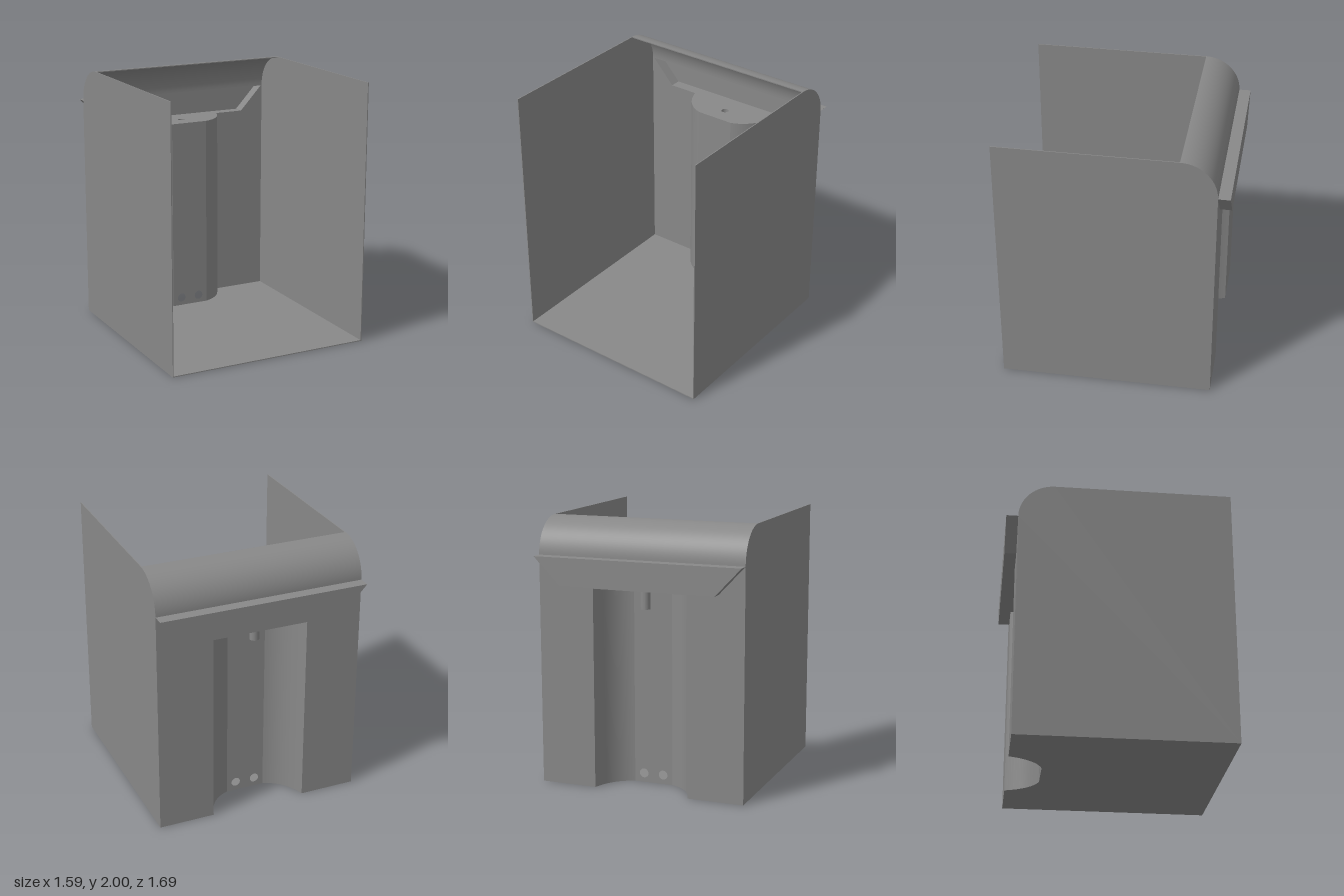
import * as THREE from 'three';
import { mergeGeometries, toCreasedNormals } from 'three/addons/utils/BufferGeometryUtils.js';

const T = 0.007;                // sheet thickness
const W = 0.797, H = 2;         // half width, height
const FRONT = 0.845, BACK = -0.755;
const R = 0.27;                 // radius of the rounded top rear edge
const TRAY_Y = 1.52, TRAY_TOP = H - R, TRAY_BACK = -0.843;
const RX = 0.368, RF = 0.15, RZ = -0.505; // recess: half width, flat half width, flat wall z
const PIPE_Z = -0.645, PIPE_R = 0.036, PIPE_BORE = 0.028;

const v = (x, y) => new THREE.Vector2(x, y);

function circleHole(x, y, r) {
  const p = new THREE.Path();
  p.absarc(x, y, r, 0, Math.PI * 2, true);
  return p;
}

export function createModel() {
  const group = new THREE.Group();
  const mat = new THREE.MeshStandardMaterial({ color: 0x888888, side: THREE.DoubleSide });

  const add = (name, geo, x = 0, y = 0, z = 0) => {
    const mesh = new THREE.Mesh(toCreasedNormals(geo, 0.2), mat);
    mesh.name = name;
    mesh.position.set(x, y, z);
    group.add(mesh);
  };
  const shape = (pts, holes = []) => {
    const s = new THREE.Shape(pts);
    s.holes.push(...holes);
    return s;
  };
  const extrude = (pts, depth, holes) => new THREE.ExtrudeGeometry(
    shape(pts, holes), { depth, bevelEnabled: false, curveSegments: 24 });
  // plan outline (x, z), thickness downwards from y
  const plan = (pts, depth, holes) => extrude(pts, depth, holes).rotateX(Math.PI / 2);
  // side outline (z, y), thickness towards -x
  const profile = (pts, depth) => extrude(pts, depth).rotateY(-Math.PI / 2);

  // rear arc from the back panel up to the top edge
  const arc = (r) => Array.from({ length: 25 }, (_, i) => {
    const a = Math.PI - (i / 24) * Math.PI / 2;
    return v(BACK + R + r * Math.cos(a), H - R + r * Math.sin(a));
  });
  // curved flank of the recess in plan, from the back panel to the flat wall
  const flank = (side) => new THREE.QuadraticBezierCurve(
    v(side * RX, BACK), v(side * 0.31, -0.555), v(side * RF, RZ)).getPoints(16);
  const recessEdge = [...flank(1), ...flank(-1).reverse()];

  // side panels
  const sidePts = [v(FRONT, 0), v(FRONT, H), ...arc(R).reverse(), v(BACK, 0)];
  add('leftSidePanel', profile(sidePts, T), W);
  add('rightSidePanel', profile(sidePts, T), -W + T);

  // floor, notched for the recess
  add('floor', plan([v(-W, FRONT), v(W, FRONT), v(W, BACK), ...recessEdge, v(-W, BACK)], T), 0, T);

  // rounded rear top
  add('roundedTop', profile([...arc(R), ...arc(R - T).reverse()], 2 * W), W);

  // back panels beside the recess
  for (const s of [1, -1]) {
    add(s > 0 ? 'leftBackPanel' : 'rightBackPanel', extrude([
      v(s * RX, 0), v(s * W, 0), v(s * W, TRAY_TOP), v(s * 0.6, TRAY_Y), v(s * RX, TRAY_Y),
    ], T), 0, 0, BACK);
  }

  // recess: flat wall with two pipe holes, joined to a curved flank on each side
  const flankSheet = (pts) => {
    const geo = new THREE.PlaneGeometry(1, TRAY_Y, pts.length - 1, 1).translate(0, TRAY_Y / 2, 0);
    const pos = geo.attributes.position;
    for (let i = 0; i < pos.count; i++) {
      const p = pts[i % pts.length];
      pos.setX(i, p.x);
      pos.setZ(i, p.y);
    }
    return geo;
  };
  const wall = new THREE.ShapeGeometry(shape(
    [v(-RF, 0), v(RF, 0), v(RF, TRAY_Y), v(-RF, TRAY_Y)],
    [circleHole(-0.077, 0.07, 0.035), circleHole(0.077, 0.07, 0.035)]), 24).translate(0, 0, RZ);
  add('recessWall', mergeGeometries([wall, flankSheet(flank(1).reverse()), flankSheet(flank(-1))]));

  // rear tray: trapezoid rim, rear plate and shelf over the recess
  const trapezoid = (e) => [
    v(-W + 2.3 * e, TRAY_TOP - e), v(-0.6 + 0.45 * e, TRAY_Y + e),
    v(0.6 - 0.45 * e, TRAY_Y + e), v(W - 2.3 * e, TRAY_TOP - e),
  ];
  add('trayRim', extrude(trapezoid(0), BACK + T - TRAY_BACK, [new THREE.Path(trapezoid(T))]),
    0, 0, TRAY_BACK);
  add('trayRearPlate', extrude(trapezoid(T), T), 0, 0, TRAY_BACK);
  add('trayShelf', plan(recessEdge, T, [circleHole(0, PIPE_Z, PIPE_BORE)]), 0, TRAY_Y + T);

  // hollow drain pipe under the shelf
  add('drainPipe', plan(circleHole(0, PIPE_Z, PIPE_R).getPoints(24), 0.16,
    [circleHole(0, PIPE_Z, PIPE_BORE)]), 0, TRAY_Y);

  return group;
}
